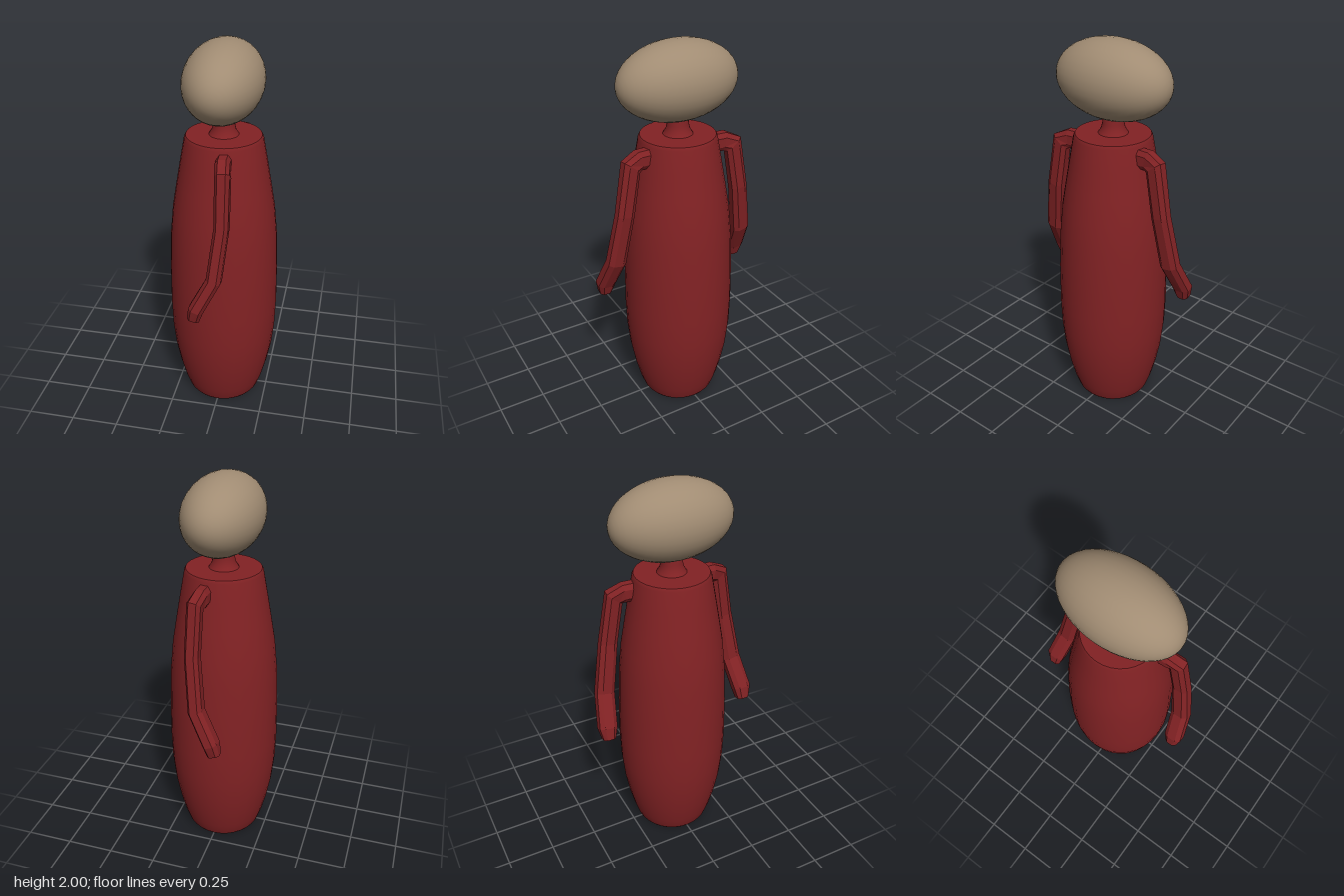
import * as THREE from 'three';

const v2 = (pts) => pts.map(([r, y]) => new THREE.Vector2(r, y));

// Arm: bevelled square sections swept along a bent path; side is +1 or -1 in z
function armGeometry(side) {
  // x, y, z, half width across, half depth
  const stations = [
    [0.035, 1.465, 0.14, 0.036, 0.048],
    [0.04, 1.465, 0.24, 0.036, 0.048],
    [0.052, 1.445, 0.288, 0.036, 0.05],
    [0.055, 1.2, 0.33, 0.035, 0.045],
    [0.025, 0.93, 0.375, 0.037, 0.048],
    [-0.058, 0.77, 0.402, 0.038, 0.048],
    [-0.073, 0.71, 0.403, 0.032, 0.033],
  ];
  const section = [[1, 0.5], [0.55, 1], [-0.55, 1], [-1, 0.5], [-1, -0.5], [-0.55, -1], [0.55, -1], [1, -0.5]];
  const n = section.length;
  const centres = stations.map((s) => new THREE.Vector3(s[0], s[1], s[2]));
  const pos = [];
  const index = [];
  const tri = (a, b, c) => (side > 0 ? index.push(a, b, c) : index.push(a, c, b));
  stations.forEach((s, i) => {
    const before = centres[Math.max(i - 1, 0)];
    const after = centres[Math.min(i + 1, centres.length - 1)];
    const t = after.clone().sub(centres[i]).normalize().add(centres[i].clone().sub(before).normalize()).normalize();
    const u = new THREE.Vector3(1, 0, 0).addScaledVector(t, -t.x).normalize();
    const w = t.clone().cross(u);
    for (const [a, b] of section) {
      const p = centres[i].clone().addScaledVector(u, a * s[3]).addScaledVector(w, b * s[4]);
      pos.push(p.x, p.y, p.z * side);
    }
  });
  for (let i = 0; i < stations.length - 1; i++) {
    for (let j = 0; j < n; j++) {
      const a = i * n + j;
      const b = i * n + ((j + 1) % n);
      tri(a, b, b + n);
      tri(a, b + n, a + n);
    }
  }
  // end caps
  const last = (stations.length - 1) * n;
  for (let j = 1; j < n - 1; j++) {
    tri(0, j + 1, j);
    tri(last, last + j, last + j + 1);
  }
  const g = new THREE.BufferGeometry();
  g.setAttribute('position', new THREE.Float32BufferAttribute(pos, 3));
  g.setIndex(index);
  const flat = g.toNonIndexed();
  flat.computeVertexNormals();
  return flat;
}

export function createModel() {
  const model = new THREE.Group();
  const red = new THREE.MeshStandardMaterial({ color: 0x822224 });
  red.name = 'dark red';
  const tan = new THREE.MeshStandardMaterial({ color: 0xa18c73 });
  tan.name = 'tan';

  const add = (name, geometry, material, parent = model) => {
    const mesh = new THREE.Mesh(geometry, material);
    mesh.name = name;
    parent.add(mesh);
    return mesh;
  };

  // Barrel-shaped body with flat ends
  const body = new THREE.Group();
  body.name = 'body';
  model.add(body);
  const profile = v2([
    [0.192, 0], [0.203, 0.015], [0.225, 0.08], [0.25, 0.18], [0.272, 0.3], [0.285, 0.43], [0.289, 0.58],
    [0.286, 0.8], [0.277, 1.0], [0.262, 1.15], [0.24, 1.28], [0.217, 1.41], [0.196, 1.525], [0.188, 1.54],
  ]);
  add('bodySide', new THREE.LatheGeometry(profile, 32), red, body);
  add('bodyTop', new THREE.CircleGeometry(0.188, 32).rotateX(-Math.PI / 2), red, body).position.y = 1.54;
  add('bodyBottom', new THREE.CircleGeometry(0.192, 32).rotateX(Math.PI / 2), red, body);

  // Flared neck
  const neck = v2([[0.078, 1.535], [0.07, 1.548], [0.06, 1.565], [0.054, 1.59], [0.05, 1.64]]);
  add('neck', new THREE.LatheGeometry(neck, 24), red);

  // Egg-shaped head, long from front to back
  const head = add('head', new THREE.SphereGeometry(1, 32, 24).rotateX(Math.PI / 2), tan);
  head.scale.set(0.195, 0.195, 0.315);
  head.position.y = 1.805;

  // Pair of arms
  add('frontArm', armGeometry(1), red);
  add('backArm', armGeometry(-1), red);

  return model;
}
